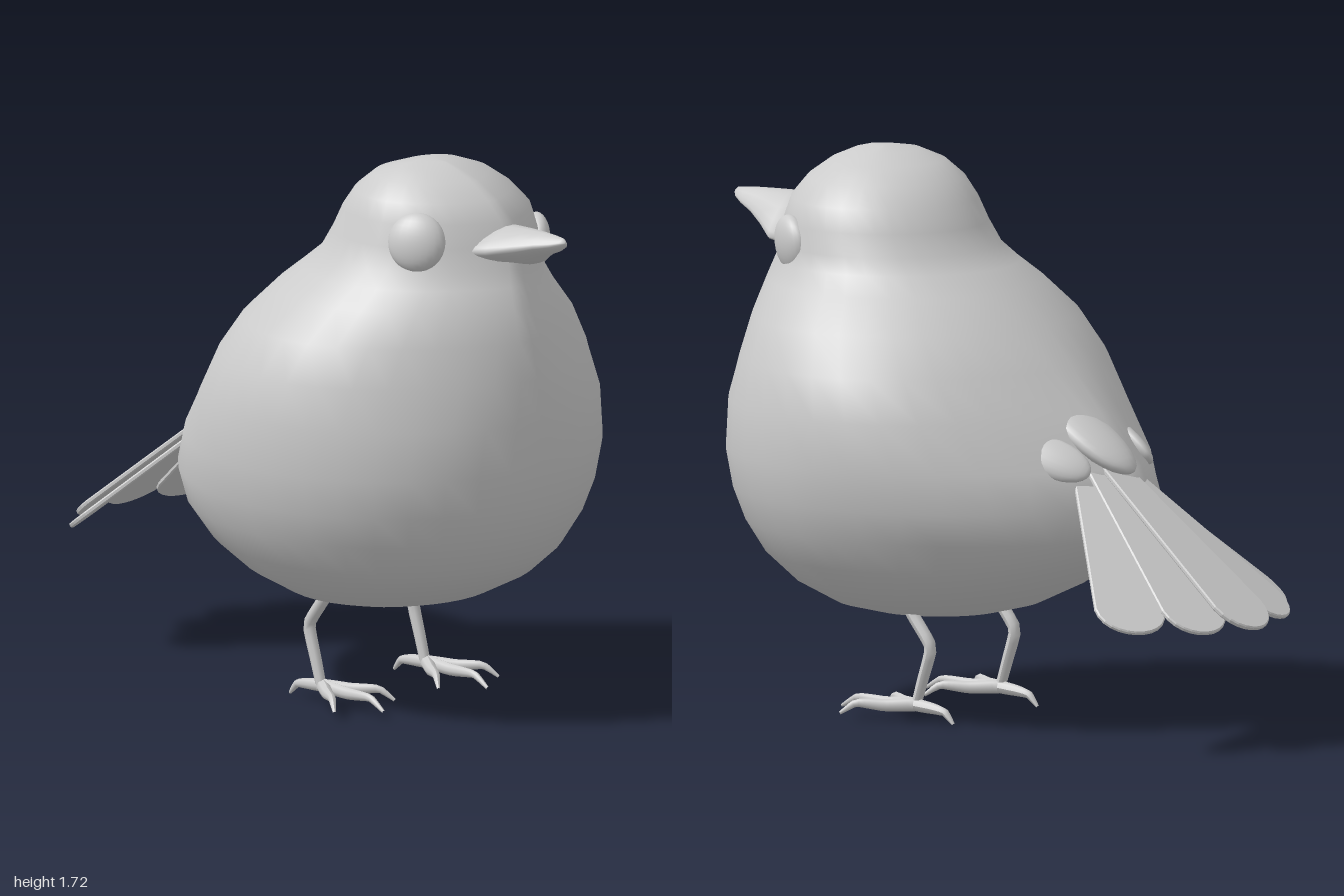
import * as THREE from 'three';

const grey = new THREE.MeshStandardMaterial({ color: 0xcccccc });
const V = (x, y, z) => new THREE.Vector3(x, y, z);

function add(parent, name, geometry) {
  const mesh = new THREE.Mesh(geometry, grey);
  mesh.name = name;
  parent.add(mesh);
  return mesh;
}

// Smooth closed skin through rings of points
function loft(rings) {
  const n = rings[0].length, pos = [], idx = [];
  rings.forEach(r => r.forEach(p => pos.push(p.x, p.y, p.z)));
  const centre = r => r.reduce((s, p) => s.add(p), V(0, 0, 0)).divideScalar(n);
  const last = (rings.length - 1) * n, c0 = rings.length * n, c1 = c0 + 1;
  pos.push(...centre(rings[0]).toArray(), ...centre(rings.at(-1)).toArray());
  for (let j = 0; j < n; j++) {
    const k = (j + 1) % n;
    for (let a = 0; a < last; a += n) {
      idx.push(a + j, a + k, a + n + j, a + k, a + n + k, a + n + j);
    }
    idx.push(c0, k, j, c1, last + j, last + k);
  }
  const g = new THREE.BufferGeometry();
  g.setAttribute('position', new THREE.Float32BufferAttribute(pos, 3));
  g.setIndex(idx);
  g.computeVertexNormals();
  return g;
}

// Tube along points, narrowing from r0 to r1
function taperedTube(points, r0, r1) {
  const curve = new THREE.CatmullRomCurve3(points, false, 'catmullrom', 0.2);
  const seg = 14, rad = 8;
  const g = new THREE.TubeGeometry(curve, seg, 1, rad);
  const p = g.attributes.position;
  for (let i = 0; i <= seg; i++) {
    const c = curve.getPointAt(i / seg), r = r0 + (r1 - r0) * (i / seg) ** 2;
    for (let j = 0; j <= rad; j++) {
      const k = i * (rad + 1) + j;
      const v = V().fromBufferAttribute(p, k).sub(c).multiplyScalar(r).add(c);
      p.setXYZ(k, v.x, v.y, v.z);
    }
  }
  g.computeVertexNormals();
  return g;
}

// Aim a mesh's +y along dir, with its +z as close to normal as possible
function aim(mesh, dir, normal) {
  const y = dir.clone().normalize();
  const x = y.clone().cross(normal).normalize();
  mesh.quaternion.setFromRotationMatrix(new THREE.Matrix4().makeBasis(x, y, x.clone().cross(y)));
  return mesh;
}

// Body and head: y, half width, front z, back z, sideways shift
const bodyRows = [
  [0.31, 0.08, 0.33, 0.17, 0], [0.325, 0.2, 0.45, 0.05, 0], [0.355, 0.32, 0.57, -0.07, 0],
  [0.42, 0.43, 0.7, -0.21, 0], [0.5, 0.51, 0.79, -0.34, 0], [0.6, 0.575, 0.85, -0.45, 0],
  [0.7, 0.61, 0.89, -0.51, 0], [0.82, 0.635, 0.91, -0.48, 0], [0.97, 0.63, 0.915, -0.35, 0],
  [1.1, 0.597, 0.905, -0.24, -0.005], [1.22, 0.53, 0.89, -0.135, -0.015],
  [1.32, 0.43, 0.86, -0.03, -0.02], [1.38, 0.37, 0.83, 0.04, -0.01],
  [1.43, 0.338, 0.81, 0.1, 0], [1.5, 0.317, 0.79, 0.135, 0.01], [1.57, 0.295, 0.765, 0.175, 0.005],
  [1.63, 0.25, 0.72, 0.225, -0.01], [1.68, 0.185, 0.65, 0.29, -0.02],
  [1.71, 0.11, 0.58, 0.38, -0.03], [1.722, 0.04, 0.53, 0.45, -0.03],
];

function bodyRing([y, w, front, back, cx]) {
  const { smoothstep } = THREE.MathUtils;
  const zc = 0.27 + 0.19 * smoothstep(y, 0.9, 1.6);
  const rump = 1 + 0.55 * Math.exp(-(((y - 0.84) / 0.23) ** 2)); // narrows the rump
  const face = 1 + 0.45 * smoothstep(y, 0.85, 1.25); // narrows the chest and face
  return Array.from({ length: 36 }, (_, j) => {
    const a = (j / 36) * Math.PI * 2, s = Math.sin(a), c = Math.cos(a);
    const x = Math.sign(s) * Math.abs(s) ** (c > 0 ? face : rump);
    return V(cx + w * x, y, zc + c * (c > 0 ? front - zc : zc - back));
  });
}

// Beak: z, centre y, half width, height above, height below
const beakRows = [
  [0.7, 1.455, 0.15, 0.1, 0.04], [0.785, 1.465, 0.138, 0.095, 0.03],
  [0.85, 1.487, 0.09, 0.074, 0.028], [0.91, 1.508, 0.055, 0.052, 0.022],
  [0.96, 1.522, 0.034, 0.035, 0.018], [0.99, 1.533, 0.018, 0.02, 0.013],
  [1.0, 1.537, 0.006, 0.007, 0.005],
];

function beakRing([z, cy, w, up, down]) {
  const roll = -0.22;
  return Array.from({ length: 20 }, (_, j) => {
    const a = (j / 20) * Math.PI * 2, c = Math.cos(a), s = Math.sin(a);
    const x = w * Math.sign(c) * Math.abs(c) ** 1.2;
    const y = s > 0 ? up * s ** 1.6 : down * s;
    return V(0.02 + x * Math.cos(roll) - y * Math.sin(roll) * 0.4,
      cy + x * Math.sin(roll) + y * Math.cos(roll), z);
  });
}

// One tail feather: narrow root, wide rounded tip
function featherGeometry(length, width) {
  const s = new THREE.Shape();
  s.moveTo(-0.05, 0);
  s.lineTo(-width, length * 0.86);
  s.bezierCurveTo(-width * 0.95, length * 1.04, width * 0.95, length * 1.04, width, length * 0.86);
  s.lineTo(0.05, 0);
  return new THREE.ExtrudeGeometry(s, {
    depth: 0.008, bevelEnabled: true, bevelSize: 0.004, bevelThickness: 0.004, bevelSegments: 1,
  });
}

function makeTail() {
  const tail = new THREE.Group();
  tail.name = 'tail';
  const tips = [[-0.285, 0.395, -0.835], [-0.12, 0.385, -0.95], [0.08, 0.375, -0.99], [0.27, 0.38, -0.935], [0.435, 0.39, -0.79]];
  tips.forEach((t, i) => {
    const k = i - 2;
    const root = V(0.05 + k * 0.036, 0.85 - k * k * 0.01, -0.39);
    const dir = V(...t).sub(root);
    const f = add(tail, 'tailFeather', featherGeometry(dir.length(), 0.11));
    f.position.copy(root);
    aim(f, dir, V(k * 0.15, 0.78, -0.6));
    f.translateZ(-Math.abs(k) * 0.003);
  });
  return tail;
}

// Leg with three front toes and one back toe
function makeLeg(x, name) {
  const leg = new THREE.Group();
  leg.name = name;
  add(leg, 'shank', taperedTube([V(0, 0.38, 0.225), V(0, 0.33, 0.195), V(0, 0.24, 0.13),
    V(-0.002, 0.14, 0.16), V(-0.005, 0.05, 0.19)], 0.02, 0.016));
  for (const [dx, z] of [[-0.135, 0.38], [-0.02, 0.475], [0.11, 0.39]]) {
    const at = (f, y) => V(dx * f, y, 0.19 + (z - 0.19) * f);
    add(leg, 'frontToe', taperedTube([at(0, 0.058), at(0.4, 0.054), at(0.78, 0.06), at(1, 0.028)], 0.021, 0.005));
  }
  add(leg, 'backToe', taperedTube([V(0, 0.058, 0.19), V(0.002, 0.052, 0.12), V(0.004, 0.044, 0.075), V(0.005, 0.01, 0.042)], 0.02, 0.005));
  leg.position.x = x;
  return leg;
}

export function createModel() {
  const bird = new THREE.Group();
  bird.name = 'bird';
  add(bird, 'body', loft(bodyRows.map(bodyRing)));
  add(bird, 'beak', loft(beakRows.map(beakRing)));

  // Eyes, one higher because the head is tilted
  for (const [name, x, y, normal] of [
    ['rightEye', -0.24, 1.52, V(-0.84, 0.22, 0.5)], ['leftEye', 0.258, 1.44, V(0.84, -0.12, 0.54)]]) {
    const eye = add(bird, name, new THREE.SphereGeometry(1, 24, 16));
    eye.scale.set(0.09, 0.09, 0.045);
    eye.position.set(x, y, 0.62);
    aim(eye, V(0, 1, 0).projectOnPlane(normal.normalize()), normal);
  }

  // Feather lobes over the root of the tail and the wing tips, sunk into the back
  const lobes = [
    ['tailCovert', [0.06, 0.91, -0.355], [0, -0.54, -0.84], [0, 0.84, -0.54], [0.1, 0.18, 0.045]],
    ['leftWingTip', [0.225, 0.86, -0.33], [-0.3, -0.35, -0.88], [0.7, 0.6, -0.4], [0.065, 0.125, 0.03]],
    ['rightWingTip', [-0.155, 0.87, -0.34], [0.3, -0.35, -0.88], [-0.7, 0.6, -0.4], [0.065, 0.125, 0.03]],
  ];
  for (const [name, p, dir, normal, size] of lobes) {
    const lobe = add(bird, name, new THREE.SphereGeometry(1, 20, 14));
    lobe.scale.set(...size);
    lobe.position.set(...p);
    aim(lobe, V(...dir), V(...normal));
  }

  bird.add(makeTail(), makeLeg(0.22, 'leftLeg'), makeLeg(-0.22, 'rightLeg'));
  return bird;
}
